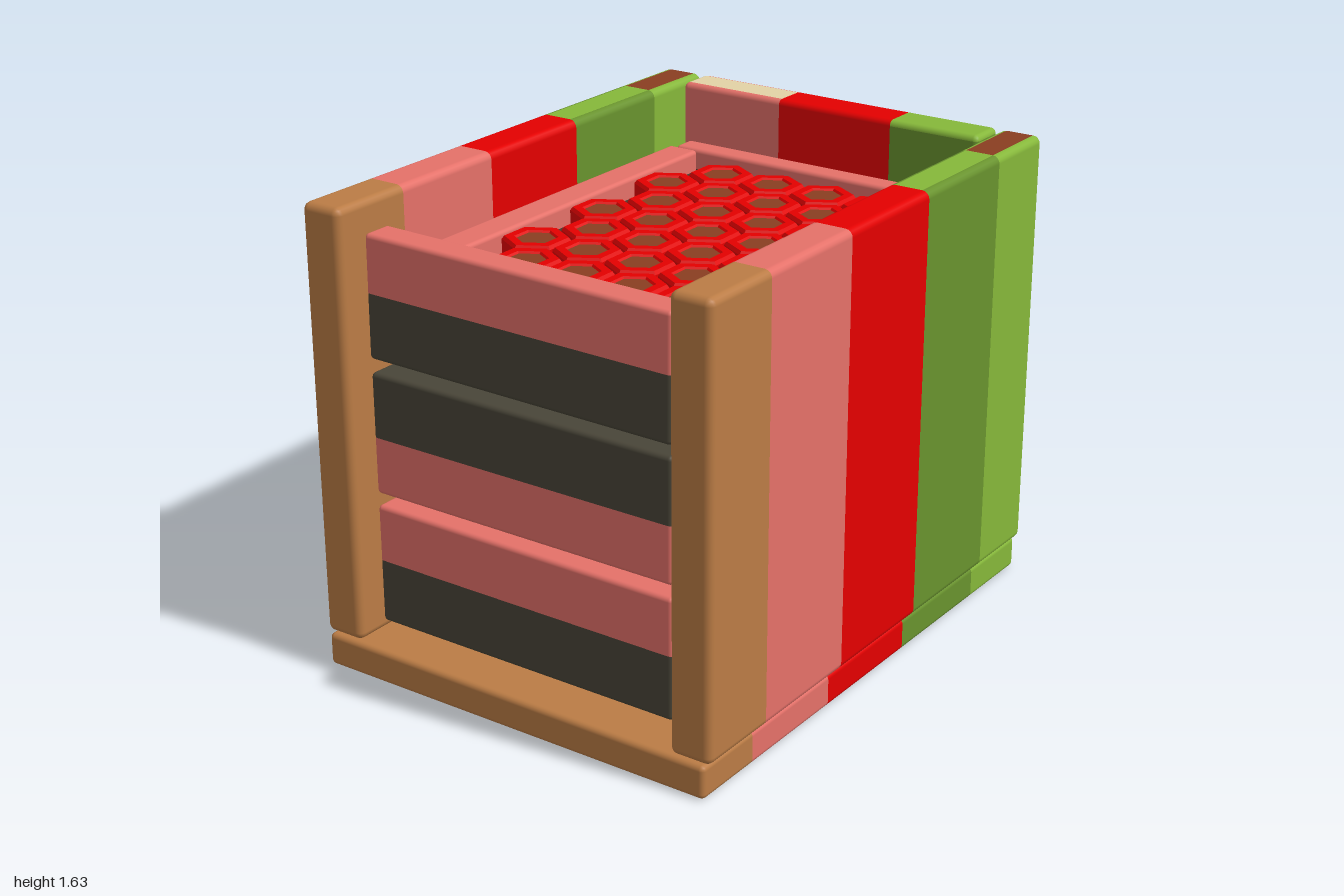
import * as THREE from 'three';
import { mergeGeometries } from 'three/addons/utils/BufferGeometryUtils.js';

const COLOURS = {
  tan: 0xbb7c45, pink: 0xe57169, red: 0xe40000, green: 0x69932e, lightGreen: 0x86b83a,
  beige: 0xe3d3a6, umber: 0x8a3e21, charcoal: 0x494538,
};
const STEPS = 4; // segments in each rounded corner

// Rounded box lofted along one axis and cut into colour bands.
// min and max are corners; bands run from the low end to the high end.
// altBands replace bands on faces whose sectional normal passes altTest.
function bandedBox(mats, name, axis, min, max, r, cuts, bands, altBands, altTest) {
  const w = 'xyz'.indexOf(axis), u = (w + 1) % 3, v = (w + 2) % 3;
  const stations = [];
  for (let i = 0; i <= STEPS; i++) {
    const t = (i / STEPS) * Math.PI / 2;
    stations.push({ p: min[w] + r * (1 - Math.cos(t)), s: Math.sin(t), n: -Math.cos(t), band: 0 });
  }
  cuts.forEach((p, i) => stations.push({ p, s: 1, n: 0, band: i + 1 }));
  for (let i = STEPS; i >= 0; i--) {
    const t = (i / STEPS) * Math.PI / 2;
    stations.push({ p: max[w] - r * (1 - Math.cos(t)), s: Math.sin(t), n: Math.cos(t), band: cuts.length });
  }

  // Sectional directions around the rounded rectangle
  const dirs = [];
  for (let k = 0; k < 4; k++) {
    for (let s = 0; s <= STEPS; s++) {
      const a = (k + s / STEPS) * Math.PI / 2;
      dirs.push({ c: Math.cos(a), d: Math.sin(a), hiU: k === 0 || k === 3, hiV: k < 2 });
    }
  }
  const pos = [], nor = [], faces = {};
  for (const st of stations) {
    for (const q of dirs) {
      const p = [0, 0, 0], n = [0, 0, 0];
      p[u] = (q.hiU ? max[u] - r : min[u] + r) + r * st.s * q.c;
      p[v] = (q.hiV ? max[v] - r : min[v] + r) + r * st.s * q.d;
      p[w] = st.p;
      n[u] = st.s * q.c; n[v] = st.s * q.d; n[w] = st.n;
      pos.push(...p); nor.push(...n);
    }
  }
  const add = (colour, ...ids) => (faces[colour] ??= []).push(...ids);
  const N = dirs.length, last = (stations.length - 1) * N;
  for (let i = 0; i < stations.length - 1; i++) {
    const band = stations[i].band;
    for (let j = 0; j < N; j++) {
      const k = (j + 1) % N;
      const alt = altTest && altTest((dirs[j].c + dirs[k].c) / 2, (dirs[j].d + dirs[k].d) / 2, band);
      const a = i * N + j, b = i * N + k;
      add((alt ? altBands : bands)[band], a, b, b + N, a, b + N, a + N);
    }
  }
  for (let j = 1; j < N - 1; j++) {
    add(bands[0], 0, j + 1, j);
    add(bands[bands.length - 1], last, last + j, last + j + 1);
  }

  const geo = new THREE.BufferGeometry();
  geo.setAttribute('position', new THREE.Float32BufferAttribute(pos, 3));
  geo.setAttribute('normal', new THREE.Float32BufferAttribute(nor, 3));
  const index = [], used = [];
  for (const [colour, ids] of Object.entries(faces)) {
    geo.addGroup(index.length, ids.length, used.length);
    used.push(mats[colour]);
    for (const id of ids) index.push(id);
  }
  geo.setIndex(index);
  const mesh = new THREE.Mesh(geo, used);
  mesh.name = name;
  return mesh;
}

// One layer of hexagonal cells: rims and their filled centres
function combLayer(mats, topY, flip) {
  const h = 0.15, rims = [], cores = [];
  const profile = [[0.066, 0], [0.106, 0], [0.116, 0.012], [0.116, h - 0.012], [0.107, h], [0.074, h], [0.067, h - 0.008]]
    .map(([x, y]) => new THREE.Vector2(x, y));
  const rim = new THREE.LatheGeometry(profile, 6).toNonIndexed();
  rim.computeVertexNormals();
  const core = new THREE.CylinderGeometry(0.068, 0.068, h - 0.007, 6).translate(0, (h - 0.007) / 2, 0);
  for (let row = 0; row < 8; row++) {
    for (let col = 0; col < 4; col++) {
      const shifted = (row % 2 === 0) !== flip;
      const x = (shifted ? -0.273 : -0.378) + col * 0.211 + (flip ? 0.02 : 0);
      const z = -0.6 + row * 0.185;
      rims.push(rim.clone().translate(x, topY - h, z));
      cores.push(core.clone().translate(x, topY - h, z));
    }
  }
  const group = new THREE.Group();
  group.name = 'honeycombLayer';
  const rimMesh = new THREE.Mesh(mergeGeometries(rims), mats.red);
  rimMesh.name = 'cellRims';
  const coreMesh = new THREE.Mesh(mergeGeometries(cores), mats.umber);
  coreMesh.name = 'cellCentres';
  group.add(rimMesh, coreMesh);
  return group;
}

export function createModel() {
  const model = new THREE.Group();
  model.name = 'combCrate';
  const mats = {};
  for (const [name, color] of Object.entries(COLOURS)) {
    mats[name] = new THREE.MeshStandardMaterial({ color });
    mats[name].name = name;
  }
  const box = (...args) => {
    const mesh = bandedBox(mats, ...args);
    model.add(mesh);
    return mesh;
  };

  // Base and the two side walls, striped from back to front
  const stripes = ['lightGreen', 'green', 'red', 'pink', 'tan'];
  const altStripes = ['umber', 'lightGreen', 'red', 'pink', 'tan'];
  box('base', 'z', [-0.77, 0, -0.99], [0.76, 0.117, 1], 0.018,
    [-0.67, -0.19, 0.285, 0.73], stripes, altStripes, (nx) => nx < -0.5);
  for (const [name, x0, x1] of [['leftWall', 0.627, 0.78], ['rightWall', -0.783, -0.63]]) {
    box(name, 'z', [x0, 0.121, -0.995], [x1, 1.632, 0.995], 0.026,
      [-0.69, -0.225, 0.24, 0.685], stripes, altStripes, (nx, ny) => ny > 0.99);
  }

  // Back wall, striped across; the green stripe turns light on its rounded top edge too
  box('backWall', 'x', [-0.618, 0.122, -1], [0.605, 1.63, -0.855], 0.02,
    [-0.2, 0.26], ['pink', 'red', 'green'], ['beige', 'red', 'lightGreen'],
    (ny, nz, band) => ny > (band === 2 ? 0.1 : 0.99));

  // Three stacked frames, each with a tall front board and low side and back rails
  const frames = [
    { y: [0.19, 0.415, 0.613], rail: [0.33, 0.415, 0.485], bands: ['charcoal', 'pink'], tilt: 0, shift: 0 },
    { y: [0.655, 0.855, 1.08], rail: [0.795, 0.86, 0.95], bands: ['pink', 'charcoal'], tilt: 0, shift: 0.008 },
    { y: [1.12, 1.345, 1.543], rail: [1.26, 1.345, 1.42], bands: ['charcoal', 'pink'], tilt: -0.009, shift: 0 },
  ];
  frames.forEach(({ y, rail, bands, tilt, shift }, i) => {
    const front = box('frontBoard', 'y', [-0.585, y[0], 0.82], [0.594, y[2], 0.93], 0.015, [y[1]], bands);
    front.geometry.translate(0, -y[1], 0);
    front.position.y = y[1];
    front.rotation.z = tilt;
    const bar = (name, x0, z0, x1, z1) =>
      box(name, 'y', [x0 + shift, rail[0], z0], [x1 + shift, rail[2], z1], 0.015, [rail[1]], bands);
    bar('leftRail', 0.485, -0.755, 0.605, 0.77);
    bar('rightRail', -0.605, -0.755, -0.483, 0.77);
    bar('backRail', -0.585, -0.85, 0.597, -0.76);
    model.add(combLayer(mats, rail[2] - 0.01, i === 1));
  });

  return model;
}
